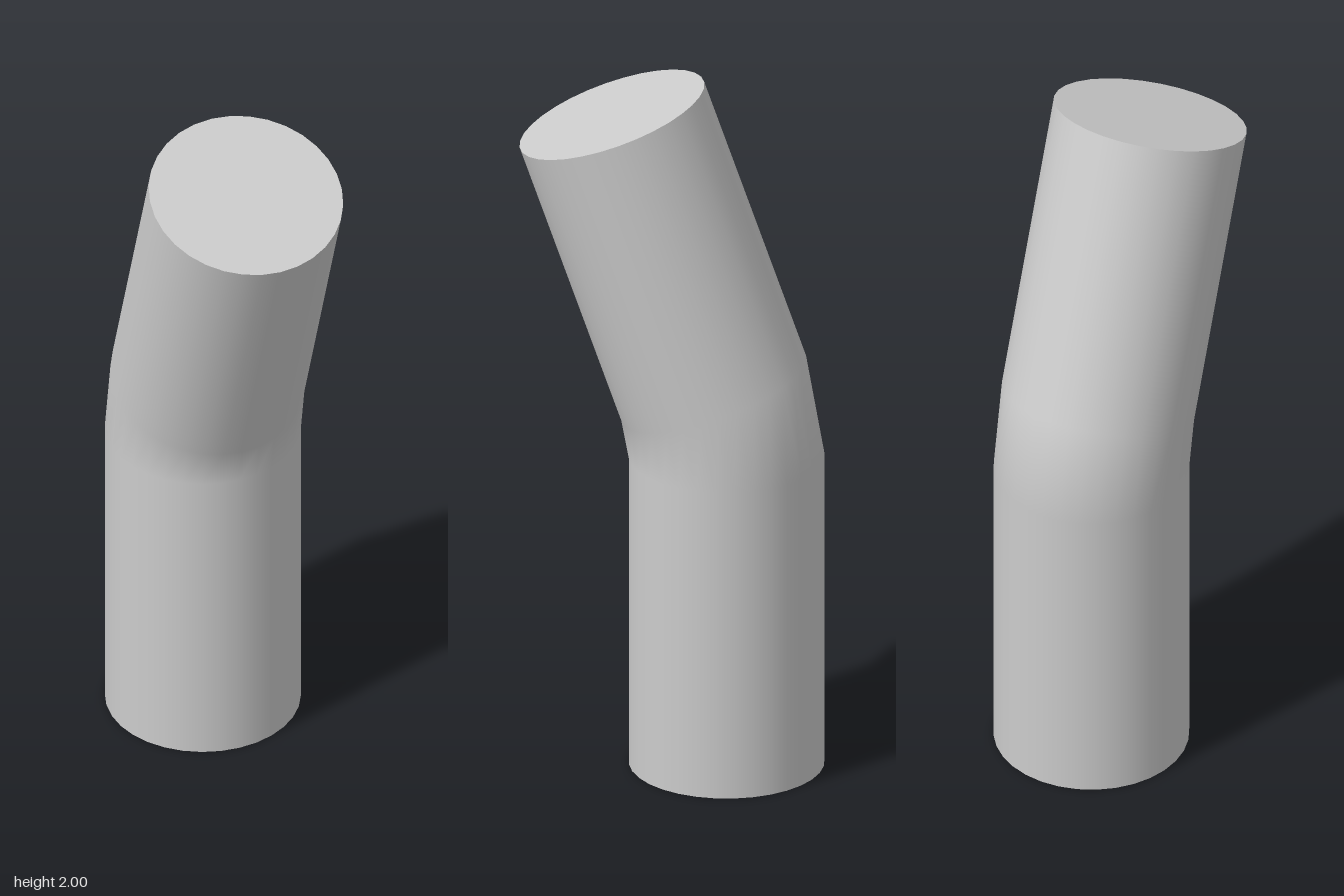
import * as THREE from 'three';

// Rings of the tube from the ground up: centre height, centre depth, forward tilt
const TILT = THREE.MathUtils.degToRad(19.4);
const RINGS = [
  { y: 0, z: -0.151, tilt: 0 },
  { y: 0.91, z: -0.151, tilt: 0 },
  { y: 1.11, z: -0.115, tilt: TILT },
  { y: 1.91, z: 0.167, tilt: TILT },
];

// A capped cylinder whose rows of vertices are carried onto the rings
function bentCylinder(radius, sides, rings) {
  const rows = rings.length - 1;
  const geometry = new THREE.CylinderGeometry(radius, radius, rows, sides, rows);
  const { position, normal } = geometry.attributes;
  const xAxis = new THREE.Vector3(1, 0, 0);
  const v = new THREE.Vector3();
  for (let i = 0; i < position.count; i++) {
    const ring = rings[Math.round(position.getY(i) + rows / 2)];
    v.fromBufferAttribute(position, i).setY(0).applyAxisAngle(xAxis, ring.tilt);
    position.setXYZ(i, v.x, v.y + ring.y, v.z + ring.z);
    v.fromBufferAttribute(normal, i).applyAxisAngle(xAxis, ring.tilt);
    normal.setXYZ(i, v.x, v.y, v.z);
  }
  return geometry;
}

export function createModel() {
  const group = new THREE.Group();
  group.name = 'bentPipe';

  // Solid pipe: upright lower half, short elbow, upper half leaning forward
  const material = new THREE.MeshStandardMaterial({ color: 0xcccccc });
  const pipe = new THREE.Mesh(bentCylinder(0.27, 32, RINGS), material);
  pipe.name = 'pipe';
  group.add(pipe);

  return group;
}
